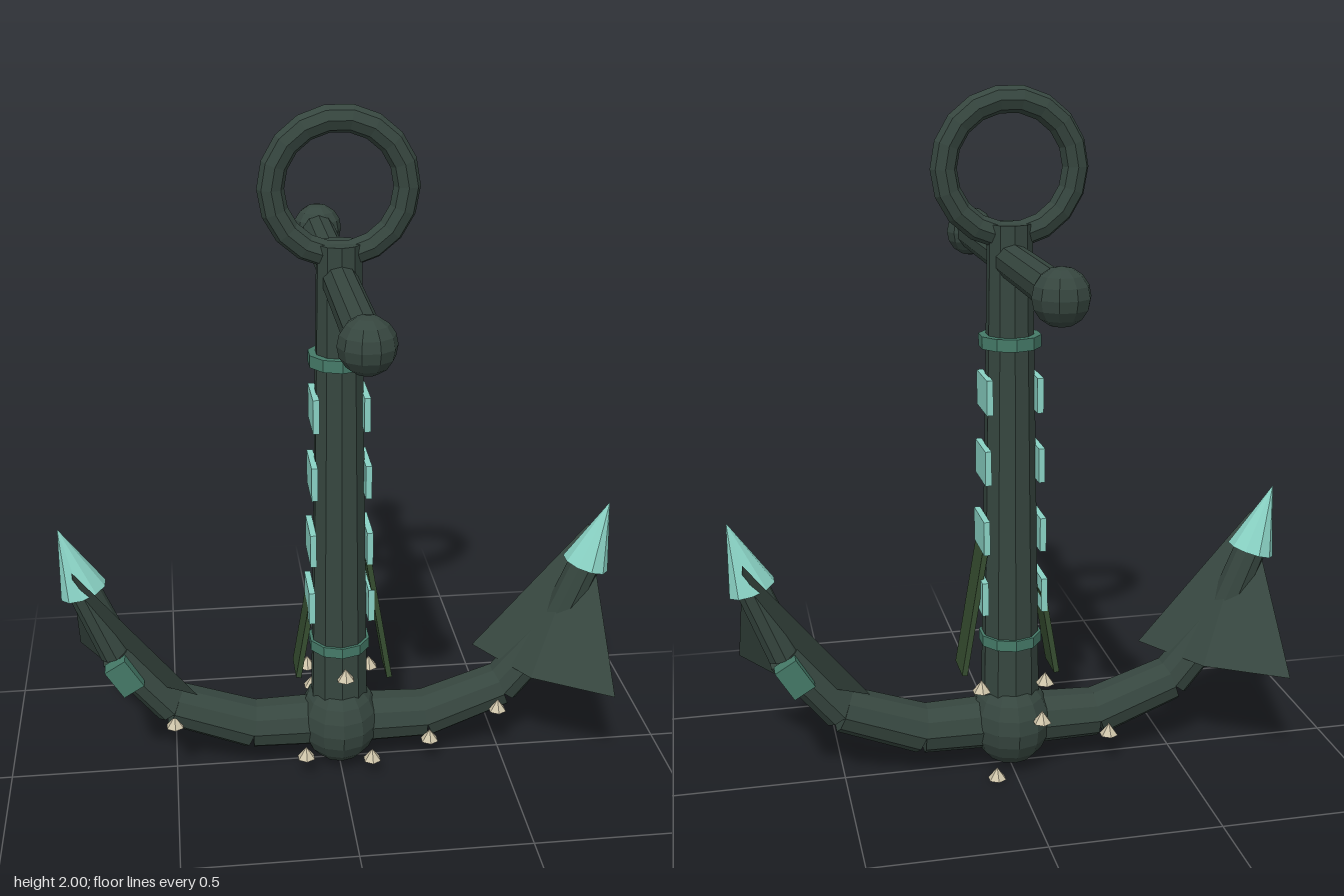
import * as THREE from 'three';

const mat = (name, color, extra = {}) => {
  const m = new THREE.MeshStandardMaterial({ color, flatShading: true, ...extra });
  m.name = name;
  return m;
};

export function createModel() {
  const root = new THREE.Group();
  root.name = 'anchor';
  const iron = mat('darkIron', 0x36463f);
  const glow = mat('paleTeal', 0x8ad3c5);
  const verdigris = mat('verdigris', 0x457a68);
  const kelp = mat('kelpGreen', 0x364d30);
  const shell = mat('shellCream', 0xcfc5aa);
  const up = new THREE.Vector3(0, 1, 0);

  const add = (parent, name, geo, material, x = 0, y = 0, z = 0) => {
    const m = new THREE.Mesh(geo, material);
    m.name = name;
    m.position.set(x, y, z);
    parent.add(m);
    return m;
  };
  // Tapered round bar from point a to point b
  const bar = (parent, name, a, b, ra, rb, material, sides = 10) => {
    const p = new THREE.Vector3(...a), q = new THREE.Vector3(...b);
    const d = q.clone().sub(p);
    const m = add(parent, name, new THREE.CylinderGeometry(rb, ra, d.length(), sides), material);
    m.position.copy(p).lerp(q, 0.5);
    m.quaternion.setFromUnitVectors(up, d.normalize());
    return m;
  };

  // Shank, ring and hub
  bar(root, 'shank', [0, 0.13, 0], [0, 1.63, 0], 0.088, 0.063, iron);
  add(root, 'ring', new THREE.TorusGeometry(0.183, 0.037, 8, 18), iron, 0, 1.78, 0);
  add(root, 'hub', new THREE.SphereGeometry(0.138, 12, 10), iron, 0, 0.146, 0).scale.x = 0.87;

  // Stock with ball ends
  bar(root, 'stock', [0, 1.53, -0.58], [0, 1.53, 0.58], 0.05, 0.05, iron);
  for (const s of [-1, 1]) {
    add(root, 'stockBall', new THREE.SphereGeometry(0.074, 10, 8), iron, 0, 1.53, s * 0.578);
  }

  // Collars
  add(root, 'upperCollar', new THREE.CylinderGeometry(0.089, 0.089, 0.035, 10), verdigris, 0, 1.305, 0);
  add(root, 'lowerCollar', new THREE.CylinderGeometry(0.092, 0.092, 0.032, 10), verdigris, 0, 0.414, 0);

  // Fluke: a thin four-sided pyramid leaning into the arm tip
  const flukeGeometry = () => {
    const P = [0.77, 0.72, -0.075], A = [0.43, 0.31, -0.1], B = [0.785, 0.31, 0.255];
    const D = [0.565, 0.31, 0.12], E = [0.65, 0.31, 0.035];
    const tris = [P, A, D, P, D, B, P, B, E, P, E, A, A, E, D, D, E, B];
    const g = new THREE.BufferGeometry();
    g.setAttribute('position', new THREE.Float32BufferAttribute(tris.flat(), 3));
    g.computeVertexNormals();
    return g;
  };

  // Each half is the other turned half a circle about the shank
  const path = [[0, 0.14, 0], [0.265, 0.138, 0], [0.5, 0.225, 0], [0.66, 0.415, 0], [0.75, 0.64, 0]];
  const radii = [0.08, 0.074, 0.064, 0.052];
  for (const side of ['left', 'right']) {
    const half = new THREE.Group();
    half.name = side + 'Half';
    half.rotation.y = side === 'left' ? 0 : Math.PI;
    root.add(half);

    radii.forEach((r, i) => bar(half, 'armSegment', path[i], path[i + 1], r, r * 0.92, iron));
    bar(half, 'armTip', [0.745, 0.625, 0], [0.806, 0.82, 0], 0.07, 0.001, glow);
    add(half, 'fluke', flukeGeometry(), iron);
    add(half, 'armPatch', new THREE.BoxGeometry(0.07, 0.1, 0.05), verdigris, 0.64, 0.37, -0.065).rotation.z = -0.55;

    // Glowing plates up the side of the shank
    [1.157, 0.953, 0.745, 0.56].forEach((y, i) => {
      add(half, 'shankPlate', new THREE.BoxGeometry(0.018, 0.1, 0.146), glow, 0.072 + i * 0.005, y, 0);
    });

    // Hanging kelp strip, longer on one side
    const len = side === 'left' ? 0.39 : 0.26;
    const strip = add(half, 'kelpStrip', new THREE.BoxGeometry(0.016, len, 0.11), kelp,
      side === 'left' ? 0.112 : 0.105, 0.31 + len / 2, 0.015);
    strip.rotation.z = 0.165;
  }

  // Barnacles
  const barnacles = [
    [0.01, 0.34, 0.085], [-0.09, 0.3, -0.075], [0.1, 0.29, -0.07], [-0.11, 0.08, 0.09],
    [0.09, 0.065, 0.1], [0.27, 0.105, 0.075], [0.48, 0.19, 0.065], [-0.5, 0.2, 0.06],
    [0.06, 0.018, -0.1], [-0.29, 0.11, -0.07], [-0.07, 0.2, -0.125],
  ];
  for (const [x, y, z] of barnacles) {
    add(root, 'barnacle', new THREE.ConeGeometry(0.028, 0.036, 6), shell, x, y, z);
  }
  return root;
}
